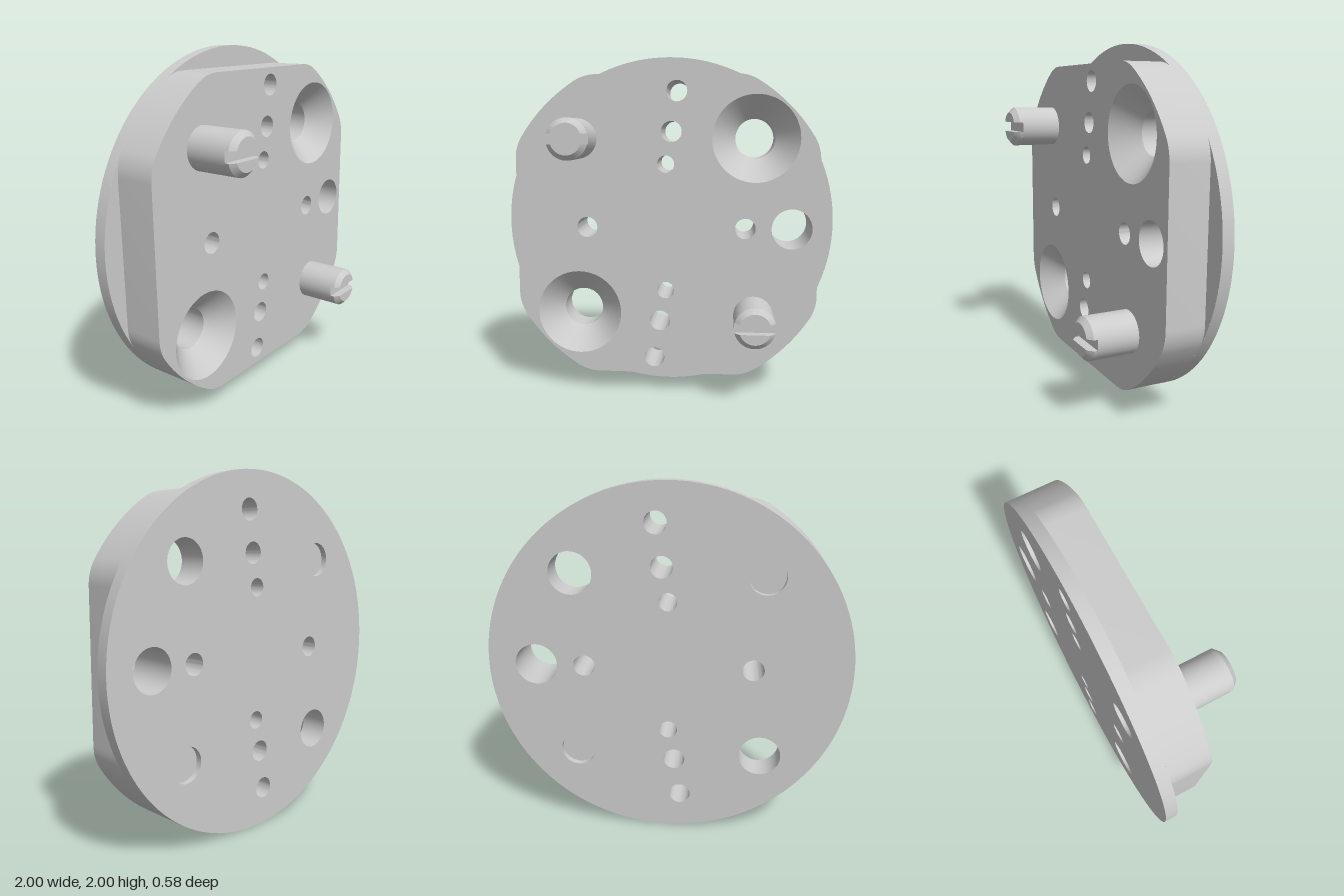
import * as THREE from 'three';
import { toCreasedNormals } from 'three/addons/utils/BufferGeometryUtils.js';

const BACK = -0.291, STEP = -0.222, FRONT = 0.006, TIP = 0.291;
const SINK = -0.128, RECESS = -0.256, SLOT = 0.242, CHAMFER = 0.263;
const TAU = Math.PI * 2;

// Points along an arc about (cx, cy); the end point is included.
function arc(cx, cy, r, a0, a1, n) {
  return Array.from({ length: n + 1 }, (_, i) => {
    const a = a0 + (a1 - a0) * i / n;
    return new THREE.Vector2(cx + r * Math.cos(a), cy + r * Math.sin(a));
  });
}
const circle = (x, y, r, n = 48) => arc(x, y, r, 0, TAU, n).slice(0, -1);

// Wall between two closed anticlockwise rings; faces outward when z1 > z0, inward when z1 < z0.
function wall(ring0, z0, ring1, z1) {
  const pos = [], n = ring0.length;
  for (let i = 0; i < n; i++) {
    const j = (i + 1) % n;
    const a = [ring0[i].x, ring0[i].y, z0], b = [ring0[j].x, ring0[j].y, z0];
    const c = [ring1[j].x, ring1[j].y, z1], d = [ring1[i].x, ring1[i].y, z1];
    pos.push(...a, ...b, ...c, ...a, ...c, ...d);
  }
  const g = new THREE.BufferGeometry();
  g.setAttribute('position', new THREE.Float32BufferAttribute(pos, 3));
  return toCreasedNormals(g, 0.35);
}

// Flat face at height z, facing +z, or -z when flipped.
function face(outline, z, holes = [], flip = false) {
  const shape = new THREE.Shape(outline);
  shape.holes = holes.map(h => new THREE.Path(h));
  const g = new THREE.ShapeGeometry(shape).translate(0, 0, z);
  if (flip) {
    g.setIndex(Array.from(g.index.array).reverse());
    g.computeVertexNormals();
  }
  return g;
}

export function createModel() {
  const model = new THREE.Group();
  const material = new THREE.MeshStandardMaterial({ color: 0xcccccc });
  const add = (parent, name, geometry) => {
    const mesh = new THREE.Mesh(geometry, material);
    mesh.name = name;
    parent.add(mesh);
  };
  const plate = new THREE.Group();
  plate.name = 'plate';
  plate.position.y = 1;
  model.add(plate);

  // Block outline: round body with four flats, blended by fillets
  const fx = 0.4, fy = 0.638, fr = 0.247;
  const t = Math.atan2(fy, fx);
  const flat = [...arc(fx, fy, fr, t, Math.PI / 2, 8), ...arc(-fx, fy, fr, Math.PI / 2, Math.PI - t, 8)];
  const corner = arc(0, 0, 1, Math.PI - t, Math.PI / 2 + t, 10).slice(1, -1);
  const origin = new THREE.Vector2();
  const turn = (pts, k) => pts.map(p => p.clone().rotateAround(origin, k * Math.PI / 2));
  const block = [0, 1, 2, 3].flatMap(k => turn([...flat, ...corner], k));
  const disc = circle(0, 0, 1, 128);

  add(plate, 'blockSide', wall(block, STEP, block, FRONT));
  add(plate, 'flangeRim', wall(disc, BACK, disc, STEP));

  // Flange ledges beside the four flats
  const ledge = [...arc(0, 0, 1, t, Math.PI - t, 24), ...flat.slice(1, -1).reverse()];
  for (let k = 0; k < 4; k++) add(plate, 'flangeLedge', face(turn(ledge, k), STEP));

  // Straight through holes: x, y, radius
  const frontHoles = [], backHoles = [];
  const through = [
    [0.064, 0.79, 0.06], [0.033, 0.56, 0.06], [0, 0.373, 0.05],
    [0, -0.373, 0.05], [-0.033, -0.56, 0.06], [-0.066, -0.787, 0.06],
    [-0.465, 0, 0.06], [0.465, 0, 0.06], [0.733, 0, 0.117],
  ];
  for (const [x, y, r] of through) {
    const ring = circle(x, y, r);
    frontHoles.push(ring);
    backHoles.push(ring);
    add(plate, 'throughHole', wall(ring, FRONT, ring, BACK));
  }

  for (const s of [1, -1]) {
    // Countersunk screw holes
    const x = 0.519 * s, y = 0.519 * s;
    const wide = circle(x, y, 0.251, 64), bore = circle(x, y, 0.117, 64);
    frontHoles.push(wide);
    backHoles.push(bore);
    add(plate, 'countersink', wall(wide, FRONT, bore, SINK));
    add(plate, 'screwBore', wall(bore, SINK, bore, BACK));

    // Slotted pins on the other diagonal, with a shallow recess behind each
    const px = -x, py = y;
    const recess = circle(px, py, 0.098);
    backHoles.push(recess);
    add(plate, 'pinRecess', wall(recess, RECESS, recess, BACK).scale(1, 1, 1));
    add(plate, 'pinRecessFloor', face(recess, RECESS, [], true));
    plate.children.at(-2).geometry = wall(recess, RECESS, recess, BACK);

    const pin = new THREE.Group();
    pin.name = 'pin';
    pin.position.set(px, py, 0);
    plate.add(pin);
    const R = 0.117, tipR = 0.088, half = 0.029;
    const shaft = circle(0, 0, R);
    frontHoles.push(circle(px, py, R));
    add(pin, 'pinShaft', wall(shaft, FRONT, shaft, SLOT));
    const a = Math.asin(half / R), b = Math.asin(half / tipR);
    add(pin, 'slotFloor', face([...arc(0, 0, R, -a, a, 6), ...arc(0, 0, R, Math.PI - a, Math.PI + a, 6)], SLOT));
    for (const k of [0, 2]) {
      const full = turn(arc(0, 0, R, a, Math.PI - a, 24), k);
      const tip = turn(arc(0, 0, tipR, b, Math.PI - b, 24), k);
      add(pin, 'pinHeadSide', wall(full, SLOT, full, CHAMFER));
      add(pin, 'pinHeadChamfer', wall(full, CHAMFER, tip, TIP));
      add(pin, 'pinHeadTop', face(tip, TIP));
    }
  }

  add(plate, 'frontFace', face(block, FRONT, frontHoles));
  add(plate, 'backFace', face(disc, BACK, backHoles, true));
  return model;
}
